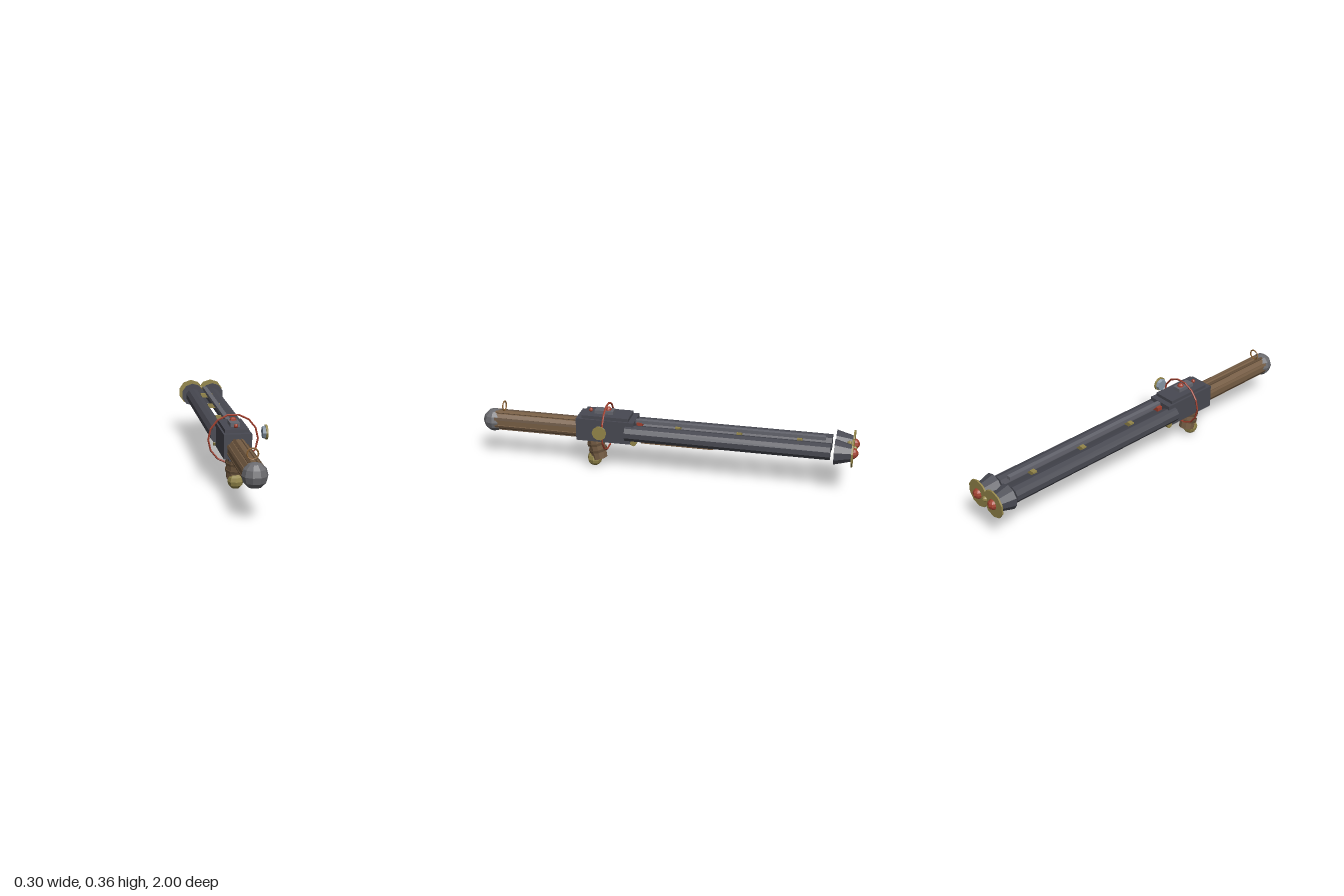
import * as THREE from 'three';

const CX = -0.02; // centre line of the body

export function createModel() {
  const model = new THREE.Group();
  const mat = (color) => new THREE.MeshStandardMaterial({ color, flatShading: true });
  const M = {
    steel: mat(0x484952), rib: mat(0x65666f), cap: mat(0x6c6c70), wood: mat(0x775e45),
    darkWood: mat(0x5e4934), brass: mat(0x94864a), red: mat(0xa0402f), bronze: mat(0x8a6234), glass: mat(0x8796a6),
  };
  const add = (name, geo, m, x, y, z, parent = model) => {
    const mesh = new THREE.Mesh(geo, m);
    mesh.name = name;
    mesh.position.set(x, y, z);
    parent.add(mesh);
    return mesh;
  };
  const box = (name, m, w, h, d, x, y, z) => add(name, new THREE.BoxGeometry(w, h, d), m, x, y, z);
  // Cylinder along z: rFront faces +z
  const rod = (name, m, rFront, rBack, len, sides, x, y, z) =>
    add(name, new THREE.CylinderGeometry(rFront, rBack, len, sides).rotateX(Math.PI / 2), m, x, y, z);
  const ball = (name, m, r, x, y, z, w = 10, h = 6) => add(name, new THREE.SphereGeometry(r, w, h), m, x, y, z);

  // Stock with raised ridges, end cap and sling ring
  rod('stock', M.wood, 0.053, 0.053, 0.5, 10, CX, 0.215, 0.69);
  for (let i = 0; i < 8; i++) {
    const a = (i / 8) * Math.PI * 2 + Math.PI / 8;
    const ridge = box('stockRidge', i % 2 ? M.wood : M.darkWood, 0.014, 0.008, 0.47,
      CX + Math.cos(a) * 0.052, 0.215 + Math.sin(a) * 0.052, 0.69);
    ridge.rotation.z = a - Math.PI / 2;
  }
  ball('stockCap', M.cap, 0.061, CX, 0.212, 0.938);
  add('slingRing', new THREE.TorusGeometry(0.026, 0.004, 5, 12), M.bronze, CX, 0.295, 0.88);

  // Receiver
  box('receiver', M.steel, 0.138, 0.122, 0.31, CX, 0.23, 0.31);
  box('receiverTop', M.steel, 0.118, 0.018, 0.25, CX, 0.299, 0.31);
  box('receiverBase', M.steel, 0.085, 0.016, 0.22, CX, 0.164, 0.35);
  box('switchBlock', M.rib, 0.048, 0.02, 0.1, CX, 0.317, 0.325);
  ball('mainButton', M.red, 0.018, CX, 0.326, 0.305, 8, 6);
  ball('smallButton', M.red, 0.011, CX, 0.318, 0.4, 6, 5);

  // Large ring around the receiver
  add('energyRing', new THREE.TorusGeometry(0.124, 0.005, 5, 14), M.red, CX, 0.233, 0.31);

  // Side dial, its broad face pointing to +x
  const dial = new THREE.Group();
  dial.name = 'sideDial';
  dial.position.set(0.125, 0.263, 0.312);
  model.add(dial);
  add('dialLens', new THREE.CylinderGeometry(0.034, 0.029, 0.016, 8).rotateZ(-Math.PI / 2), M.glass, 0.008, 0, 0, dial);
  add('dialRim', new THREE.CylinderGeometry(0.038, 0.037, 0.01, 10).rotateZ(-Math.PI / 2), M.brass, 0.02, 0, 0, dial);

  // Leaning grip, bands and pommel
  const grip = new THREE.Group();
  grip.name = 'gripGroup';
  grip.position.set(CX, 0.11, 0.371);
  grip.rotation.x = 0.2;
  model.add(grip);
  add('grip', new THREE.CylinderGeometry(0.046, 0.042, 0.125, 10), M.wood, 0, 0, 0, grip);
  for (const y of [0.022, -0.016])
    add('gripBand', new THREE.CylinderGeometry(0.05, 0.05, 0.012, 10), M.darkWood, 0, y, 0, grip);
  ball('pommel', M.brass, 0.04, CX, 0.04, 0.386, 8, 6);

  // Twin barrels, rear-flared muzzles, discs and emitters
  for (const side of [-1, 1]) {
    const x = CX + side * 0.058;
    rod('barrel', M.steel, 0.043, 0.043, 1.06, 10, x, 0.23, -0.33);
    rod('muzzle', M.steel, 0.066, 0.043, 0.085, 10, x, 0.233, -0.923);
    rod('muzzleDisc', M.brass, 0.073, 0.073, 0.008, 10, x, 0.233, -0.97);
    ball('emitter', M.red, 0.028, x, 0.233, -0.972, 8, 6);
  }
  ball('centreBead', M.brass, 0.015, CX, 0.233, -0.975, 8, 6);
  ball('sightBead', M.brass, 0.012, CX, 0.262, -0.95, 8, 6);

  // Rib, clips and igniter between the barrels
  box('rib', M.rib, 0.024, 0.018, 0.99, CX + 0.006, 0.28, -0.335);
  for (const z of [-0.7, -0.39, -0.07]) box('barrelClip', M.brass, 0.066, 0.022, 0.024, CX, 0.262, z);
  box('igniter', M.red, 0.046, 0.022, 0.03, CX, 0.265, 0.135);

  // Fore-end and hinge under the barrels
  box('foreEnd', M.wood, 0.09, 0.026, 0.38, CX, 0.184, -0.07);
  add('hinge', new THREE.CylinderGeometry(0.017, 0.017, 0.156, 8).rotateZ(Math.PI / 2), M.brass, CX, 0.183, 0.155);

  return model;
}
